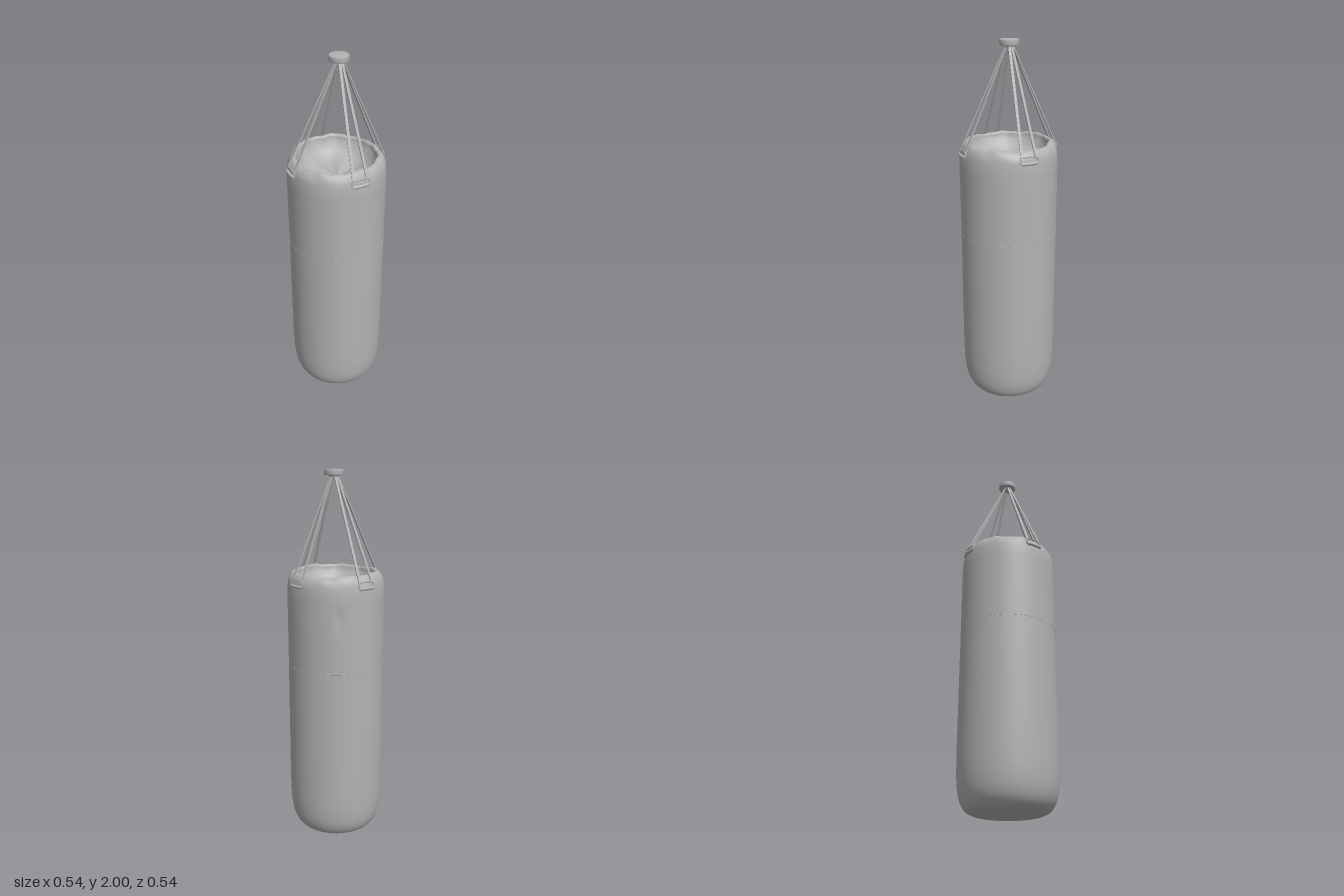
import * as THREE from 'three';
import { mergeVertices } from 'three/addons/utils/BufferGeometryUtils.js';

const DEG = Math.PI / 180;
const V2 = (x, y) => new THREE.Vector2(x, y);

// Point on a circle round the y axis; angle 0 faces the front, 90 the left
const polar = (r, deg, y) =>
  new THREE.Vector3(r * Math.sin(deg * DEG), y, r * Math.cos(deg * DEG));

// Outer wall of the bag, from the base edge up to the rim
const wall = new THREE.SplineCurve([
  V2(0.18, 0.01), V2(0.215, 0.028), V2(0.242, 0.075), V2(0.256, 0.15), V2(0.261, 0.28),
  V2(0.261, 0.6), V2(0.26, 0.98), V2(0.26, 1.3), V2(0.259, 1.38), V2(0.253, 1.435),
  V2(0.24, 1.465), V2(0.225, 1.479), V2(0.212, 1.48),
]).getPoints(90);

// Sagging cloth inside the rim
const lining = new THREE.SplineCurve([
  V2(0.207, 1.474), V2(0.2, 1.445), V2(0.17, 1.4), V2(0.11, 1.365), V2(0, 1.35),
]).getPoints(18);

function wallRadius(y) {
  for (let i = 1; i < wall.length; i++) {
    if (wall[i].y >= y) {
      const a = wall[i - 1], b = wall[i];
      return a.x + (b.x - a.x) * (y - a.y) / (b.y - a.y || 1);
    }
  }
  return 0.22;
}

// Lathe whose vertices are moved by a rule, then smoothed over the closing edge
function latheWith(points, rule) {
  let g = new THREE.LatheGeometry(points, 96);
  const p = g.attributes.position, v = new THREE.Vector3();
  for (let i = 0; i < p.count; i++) {
    v.fromBufferAttribute(p, i);
    rule(v, Math.atan2(v.x, v.z));
    p.setXYZ(i, v.x, v.y, v.z);
  }
  g.deleteAttribute('uv');
  g.deleteAttribute('normal');
  g = mergeVertices(g, 1e-5);
  g.computeVertexNormals();
  return g;
}

// Uneven, gathered rim
function wobble(v, a) {
  const k = THREE.MathUtils.smoothstep(v.y, 1.42, 1.48);
  v.y += k * (0.004 * Math.sin(2 * a + 1) + 0.003 * Math.sin(7 * a) + 0.002 * Math.sin(19 * a));
  const s = 1 + k * 0.012 * Math.sin(11 * a + 0.5);
  v.x *= s;
  v.z *= s;
}

// Sheet laid over the wall; halfWidth(t) is in degrees, t runs 0 (bottom) to 1 (top)
function wallPatch(centre, y0, y1, halfWidth, lift, cols, rows) {
  const g = new THREE.PlaneGeometry(2, 1, cols, rows);
  const p = g.attributes.position;
  for (let i = 0; i < p.count; i++) {
    const t = p.getY(i) + 0.5, y = y0 + (y1 - y0) * t;
    const q = polar(wallRadius(y) + lift, centre + p.getX(i) * halfWidth(t), y);
    p.setXYZ(i, q.x, q.y, q.z);
  }
  g.computeVertexNormals();
  return g;
}

export function createModel() {
  const group = new THREE.Group();
  const grey = new THREE.MeshStandardMaterial({ color: 0xb2b2b2, side: THREE.DoubleSide });
  grey.name = 'grey';
  const add = (name, geometry, parent = group) => {
    const mesh = new THREE.Mesh(geometry, grey);
    mesh.name = name;
    parent.add(mesh);
    return mesh;
  };

  // Bag: wall with a small dent near the back seam, flat base, sagging lining
  add('bagWall', latheWith(wall, (v, a) => {
    wobble(v, a);
    const da = (a - 158 * DEG) / 0.07, dy = (v.y - 1.27) / 0.05;
    const s = 1 - 0.03 * Math.exp(-da * da - dy * dy);
    v.x *= s;
    v.z *= s;
  }));
  add('bagBase', new THREE.LatheGeometry([V2(0, 0), V2(0.1, 0.003), V2(0.18, 0.01)], 96));
  add('bagLining', latheWith([wall[wall.length - 1], ...lining], (v, a) => {
    wobble(v, a);
    const r = Math.hypot(v.x, v.z);
    if (r < 0.205) v.y += 0.006 * Math.sin(r / 0.205 * Math.PI) * Math.sin(5 * a + 1);
  }));

  // Seams: one round the middle, one up the back
  add('middleSeam', new THREE.TorusGeometry(0.26, 0.0012, 6, 96).rotateX(Math.PI / 2).translate(0, 0.98, 0));
  add('backSeam', wallPatch(149, 0.03, 1.46, () => 0.3, 0.0012, 1, 60));

  // Four hangers: stitched tab, folded top, metal loop and two straps
  const capX = 0.012;
  [12.5, 103.5, 191, 282].forEach((centre) => {
    const hanger = new THREE.Group();
    hanger.name = 'hanger';
    group.add(hanger);

    const rounded = (t) => 10.8 * (t < 0.25 ? 0.7 + 0.3 * Math.sqrt(1 - (1 - t / 0.25) ** 2) : 1);
    add('tab', wallPatch(centre, 1.312, 1.425, rounded, 0.004, 10, 20), hanger);

    const arc = (r, y, half) => new THREE.CatmullRomCurve3(
      [-half, 0, half].map((d) => polar(r, centre + d, y)));
    add('tabFold', new THREE.TubeGeometry(arc(0.262, 1.422, 9.5), 12, 0.009, 8), hanger);

    const loop = [[-10, 1.422], [0, 1.42], [10, 1.422], [9.5, 1.452], [0, 1.456], [-9.5, 1.452]]
      .map(([d, y]) => polar(y < 1.44 ? 0.264 : 0.258, centre + d, y));
    add('loop', new THREE.TubeGeometry(
      new THREE.CatmullRomCurve3(loop, true, 'catmullrom', 0.3), 40, 0.004, 6, true), hanger);

    for (const side of [-8.5, 8.5]) {
      const top = polar(0.016, centre + side * 2.5, 1.975);
      top.x += capX;
      const end = polar(0.259, centre + side, 1.446);
      const strap = add('strap', new THREE.BoxGeometry(0.014, 0.006, top.distanceTo(end)), hanger);
      strap.position.copy(top).add(end).multiplyScalar(0.5);
      strap.lookAt(end);
    }
  });

  // Round cap the straps hang from
  const cap = add('cap', new THREE.LatheGeometry([
    V2(0, 1.969), V2(0.046, 1.969), V2(0.05, 1.973), V2(0.05, 1.995), V2(0.047, 1.999), V2(0, 2),
  ], 40));
  const hub = add('capHub', new THREE.CylinderGeometry(0.03, 0.024, 0.012, 24));
  cap.position.x = capX;
  hub.position.set(capX, 1.965, 0);

  return group;
}
